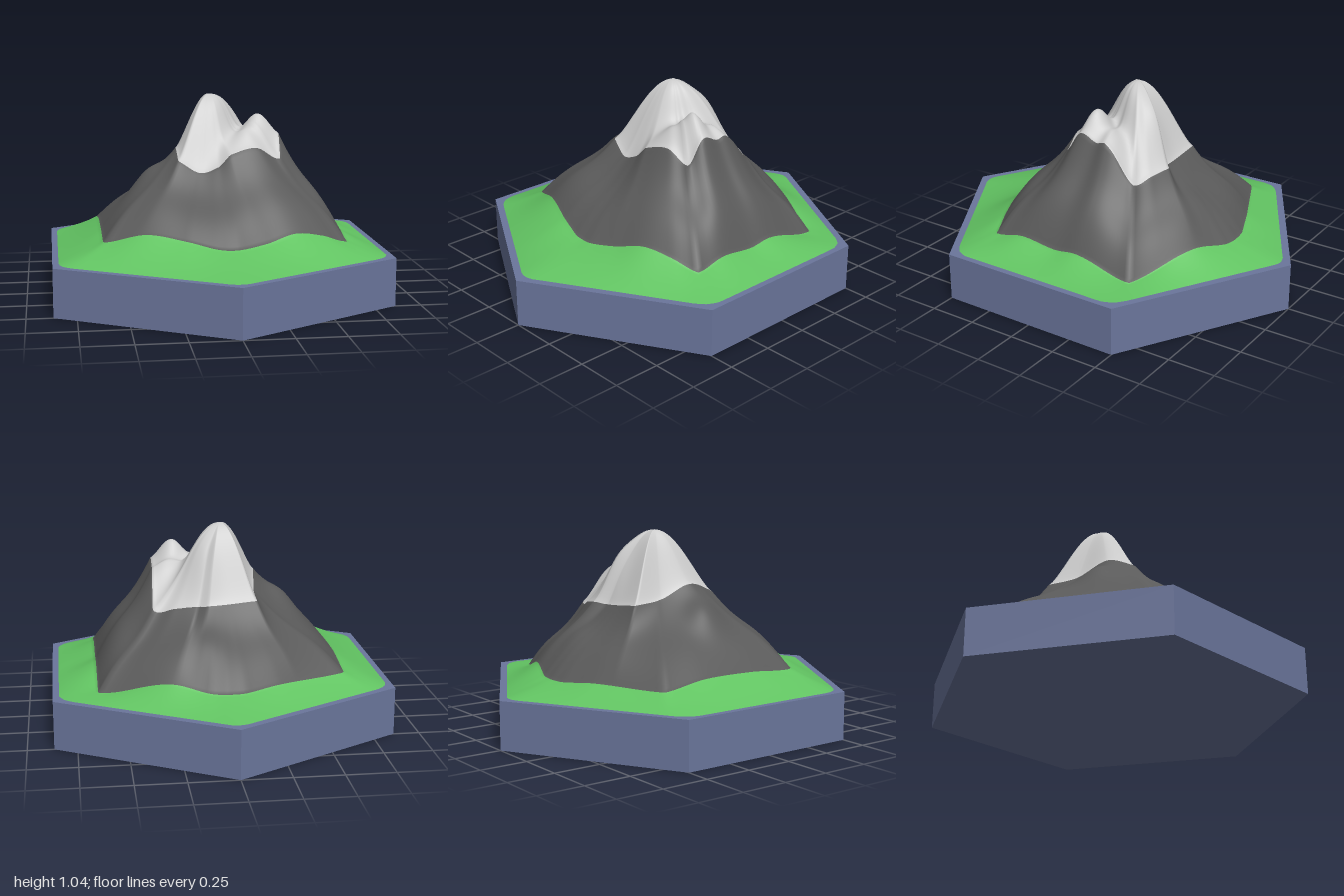
import * as THREE from 'three';

const N = 192; // points per ring
const PEAK = [-0.02, 1.045, -0.07];

// Boundary loops as [x, y, z]
const SNOW_EDGE = [
  [-.21, .72, .17], [-.1, .66, .2], [0, .69, .2], [.06, .75, .19], [.2, .78, .165], [.33, .72, .145],
  [.335, .84, .05], [.335, .81, -.05], [.34, .81, -.12], [.35, .64, -.28], [.24, .655, -.32],
  [.13, .67, -.355], [.07, .66, -.31], [-.18, .68, -.31], [-.185, .7, -.15], [-.21, .77, .02],
];
const ROCK_EDGE = [
  [-.61, .345, .37], [-.4, .395, .45], [-.2, .37, .53], [-.05, .335, .57], [.05, .33, .57], [.2, .35, .525],
  [.35, .385, .47], [.5, .36, .42], [.64, .315, .37], [.64, .345, .2], [.64, .325, 0], [.64, .335, -.15],
  [.64, .27, -.45], [.3, .35, -.6], [.1, .32, -.68], [.02, .315, -.69], [-.07, .315, -.68],
  [-.25, .33, -.61], [-.61, .325, -.445], [-.61, .36, -.2], [-.61, .36, .1],
];
const corner = [[0, .945], [.04, .935], [.09, .905], [.77, .515], [.815, .475], [.835, .42]];
const quarter = corner.map(([x, z]) => [x, .251, z]);
const flip = (pts, sx, sz) => pts.map(([x, y, z]) => [x * sx, y, z * sz]);
const GRASS_EDGE = [
  ...quarter, ...flip(quarter, 1, -1).reverse(),
  ...flip(quarter, -1, -1).slice(1), ...flip(quarter, -1, 1).reverse().slice(0, -1),
];

// Smooth interpolation of heights between four neighbours
function smooth(a, b, c, d, t) {
  return b + .5 * t * (c - a + t * (2 * a - 5 * b + 4 * c - d + t * (3 * (b - c) + d - a)));
}

// Where a ray from the summit at the given angle meets a loop
function hit(loop, angle) {
  const dx = Math.cos(angle), dz = Math.sin(angle), n = loop.length;
  for (let i = 0; i < n; i++) {
    const p = loop[i], q = loop[(i + 1) % n];
    const px = p[0] - PEAK[0], pz = p[2] - PEAK[2];
    const ex = q[0] - p[0], ez = q[2] - p[2];
    const den = dx * ez - dz * ex;
    if (Math.abs(den) < 1e-9) continue;
    const s = (px * ez - pz * ex) / den;
    const t = (px * dz - pz * dx) / den;
    if (s > 0 && t >= -1e-6 && t <= 1 + 1e-6) {
      const y = smooth(loop[(i + n - 1) % n][1], p[1], q[1], loop[(i + 2) % n][1], t);
      return [PEAK[0] + dx * s, y, PEAK[2] + dz * s];
    }
  }
  return loop[0];
}

const bump = (x, z, cx, cz, r) => Math.exp(-((x - cx) ** 2 + (z - cz) ** 2) / (r * r));

// Second summit, back ridge and the diagonal valley between the summits
function snowDetail(x, z) {
  const across = (x - .13) * .81 + (z + .02) * .58;
  const along = -(x - .13) * .58 + (z + .02) * .81;
  return .06 * bump(x, z, .25, .05, .08) + .05 * bump(x, z, .08, -.25, .08)
    - .12 * Math.exp(-((across / .065) ** 2) - (along / .18) ** 2);
}

// Each band runs from the previous loop out to its own edge
const BANDS = [
  { name: 'snowCap', color: 0xcccccc, edge: SNOW_EDGE, rings: 28,
    height: (t, a, b, x, z) => b + (a - b) * Math.max(0, Math.cos(t * Math.PI / 2)) ** 1.3
      + snowDetail(x, z) * (1 - t ** 6) },
  { name: 'rockSlopes', color: 0x5a5a5a, edge: ROCK_EDGE, rings: 28,
    height: (t, a, b, x, z) => a + (b - a) * (t + .04 * Math.sin(2 * Math.PI * t))
      + (.065 * bump(x, z, -.35, 0, .1) + .025 * bump(x, z, .1, -.48, .1)) * Math.sin(Math.PI * t) ** .7 },
  { name: 'grassSkirt', color: 0x62c462, edge: GRASS_EDGE, rings: 12,
    height: (t, a, b) => a + (b - a) * (t + .05 * Math.sin(Math.PI * t)) },
];

function createTerrain() {
  const group = new THREE.Group();
  group.name = 'mountain';
  const positions = [...PEAK];
  const id = (r, a) => (r === 0 ? 0 : 1 + (r - 1) * N + (a % N));
  const indices = [], all = [];
  let inner = Array.from({ length: N }, () => PEAK);
  let ring = 0;
  for (const band of BANDS) {
    const outer = inner.map((_, a) => hit(band.edge, a / N * Math.PI * 2));
    const index = [];
    for (let r = 1; r <= band.rings; r++, ring++) {
      const t = r / band.rings;
      for (let a = 0; a < N; a++) {
        const p = inner[a], q = outer[a];
        const x = p[0] + (q[0] - p[0]) * t, z = p[2] + (q[2] - p[2]) * t;
        positions.push(x, band.height(t, p[1], q[1], x, z), z);
        const o0 = id(ring + 1, a), o1 = id(ring + 1, a + 1);
        index.push(id(ring, a), o1, o0);
        if (ring > 0) index.push(id(ring, a), id(ring, a + 1), o1);
      }
    }
    indices.push(index);
    for (const i of index) all.push(i);
    inner = outer;
  }
  // Normals are shared so shading runs on across the colour edges
  const whole = new THREE.BufferGeometry();
  whole.setAttribute('position', new THREE.Float32BufferAttribute(positions, 3));
  whole.setIndex(all);
  whole.computeVertexNormals();
  BANDS.forEach((band, i) => {
    const geo = new THREE.BufferGeometry();
    geo.setAttribute('position', whole.attributes.position);
    geo.setAttribute('normal', whole.attributes.normal);
    geo.setIndex(indices[i]);
    const mesh = new THREE.Mesh(geo, new THREE.MeshStandardMaterial({ color: band.color, side: THREE.DoubleSide }));
    mesh.name = band.name;
    group.add(mesh);
  });
  return group;
}

export function createModel() {
  const model = new THREE.Group();
  model.name = 'mountainTile';

  // Hexagonal plinth with points to the front and back
  const base = new THREE.Mesh(
    new THREE.CylinderGeometry(1, 1, .25, 6),
    new THREE.MeshStandardMaterial({ color: 0x6b769c, flatShading: true }),
  );
  base.name = 'hexBase';
  base.position.y = .125;

  model.add(base, createTerrain());
  return model;
}
